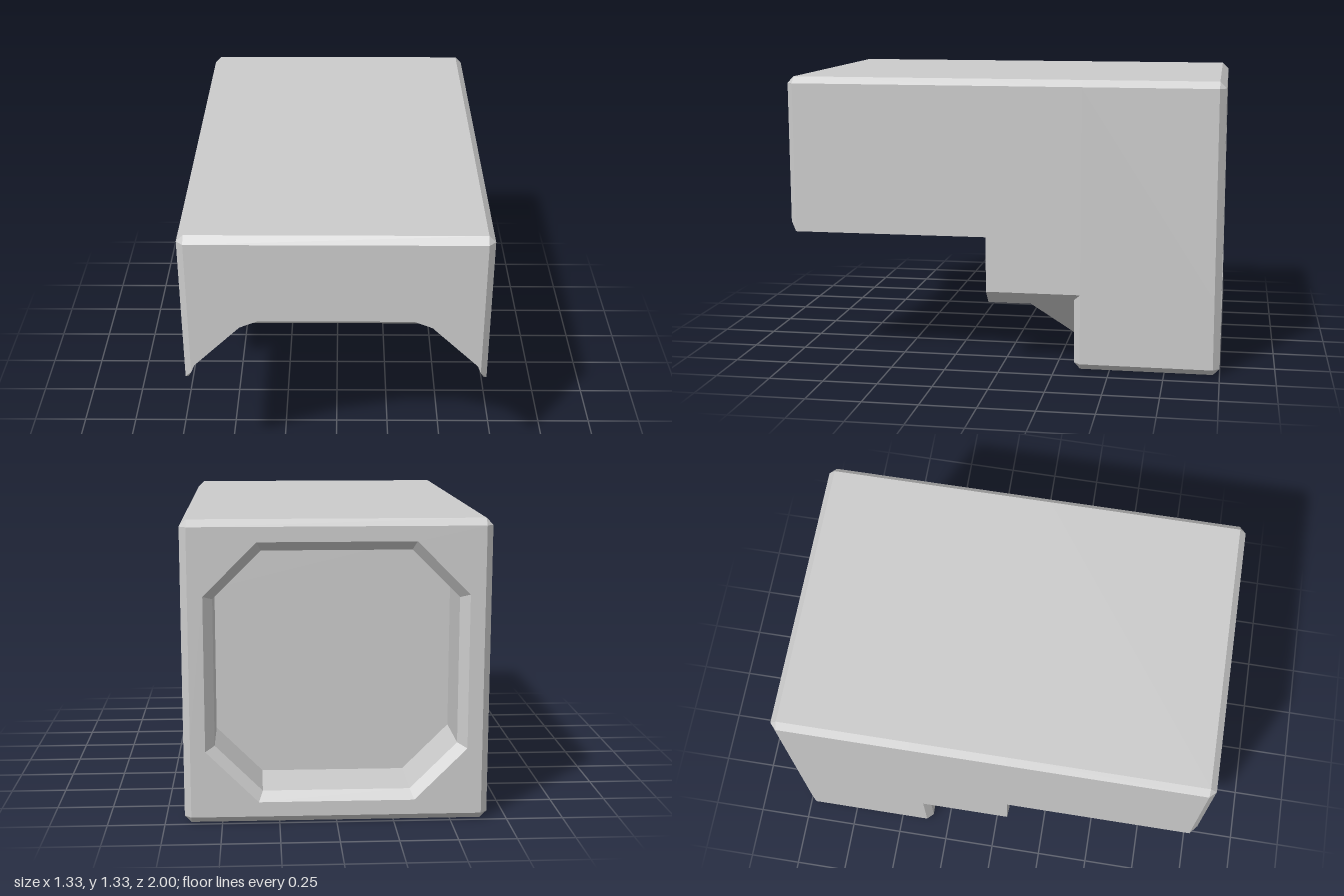
import * as THREE from 'three';

const W = 0.665, H = 1.33, C = 0.03; // half width, height, edge chamfer
const material = new THREE.MeshStandardMaterial({ color: 0xcccccc, flatShading: true });

// Mirror a right-hand half outline into a closed counter-clockwise ring
const mirrored = (half) => [...half, ...half.map(([x, y]) => [-x, y]).reverse()];

// Skin [z, ring] sections from back to front, with optional end caps
function loft(name, sections, { front = false, back = false, hole = [] } = {}) {
  const pos = [];
  const tri = (...pts) => {
    const [a, b, c] = pts.map((p) => new THREE.Vector3(...p));
    if (b.clone().sub(a).cross(c.clone().sub(a)).length() > 1e-7) pos.push(...pts.flat());
  };
  for (let k = 0; k < sections.length - 1; k++) {
    const [z0, r0] = sections[k], [z1, r1] = sections[k + 1];
    for (let i = 0; i < r0.length; i++) {
      const j = (i + 1) % r0.length;
      const a = [...r0[i], z0], b = [...r0[j], z0], c = [...r1[j], z1], d = [...r1[i], z1];
      tri(a, b, c);
      tri(a, c, d);
    }
  }
  const cap = ([z, ring], flip, inner) => {
    // drop repeated corners before triangulating
    const outline = ring.filter(([x, y], i) => {
      const [px, py] = ring[(i + ring.length - 1) % ring.length];
      return Math.hypot(x - px, y - py) > 1e-6;
    });
    const toV2 = (list) => list.map(([x, y]) => new THREE.Vector2(x, y));
    const all = [...outline, ...inner];
    for (const f of THREE.ShapeUtils.triangulateShape(toV2(outline), inner.length ? [toV2(inner)] : [])) {
      let [a, b, c] = f.map((i) => all[i]);
      const ccw = (b[0] - a[0]) * (c[1] - a[1]) - (b[1] - a[1]) * (c[0] - a[0]) > 0;
      if (ccw === flip) [b, c] = [c, b];
      tri([...a, z], [...b, z], [...c, z]);
    }
  };
  if (front) cap(sections[sections.length - 1], false, []);
  if (back) cap(sections[0], true, hole);

  const geometry = new THREE.BufferGeometry();
  geometry.setAttribute('position', new THREE.Float32BufferAttribute(pos, 3));
  geometry.computeVertexNormals();
  const mesh = new THREE.Mesh(geometry, material);
  mesh.name = name;
  return mesh;
}

// Front hood outline: faceted arch underneath, chamfered top corners
const hood = (inset, footX, footY) => mirrored([
  [0.145, 1], [0.415, 0.89], [0.62, 0.69], [footX, footY],
  [W - inset, footY], [W - inset, H - C], [W - C, H - inset],
]);

// Middle outline: roof with two cheeks, inner half width and underside vary
const cheeks = (innerX, bottomY) => mirrored([
  [innerX, 0.955], [innerX, bottomY], [bottomY + 0.31, bottomY],
  [W, 0.355], [W, H - C], [W - C, H],
]);

// Rear block outline
const block = (inset) => mirrored([
  [W - C, inset], [W - inset, C], [W - inset, 0.355], [W - inset, 0.355],
  [W - inset, H - C], [W - C, H - inset],
]);
// Rear block front outline: chamfered only below the cheeks
const blockFront = mirrored([
  [W - C, C], [W - C, C], [W - C, 0.325], [W, 0.355], [W, H - C], [W - C, H],
]);

// Recess octagon, wound clockwise so that its walls face inwards
const octagon = (r, c) => {
  const m = H / 2;
  return mirrored([[r - c, m - r], [r, m - r + c], [r, m + r - c], [r - c, m + r]]).reverse();
};

export function createModel() {
  const group = new THREE.Group();
  group.name = 'housing';

  group.add(loft('frontHood', [
    [0.07, hood(0, 0.653, 0.61)],
    [1 - C, hood(0, 0.653, 0.61)],
    [1, hood(C, W - C, 0.653)],
  ], { front: true, back: true }));

  group.add(loft('sideCheeksAndRoof', [
    [-0.335, cheeks(0.335, 0.09)],
    [-0.13, cheeks(0.43, 0.29)],
    [0.07, cheeks(0.535, 0.29)],
  ], { front: true }));

  // Wall at the back of the cavity, with a sloping underside
  const wall = (x, y) => mirrored([[x, y], [x, 0.955]]);
  group.add(loft('cavityBackWall', [
    [-0.335, wall(0.335, 0.4)],
    [-0.13, wall(0.43, 0.6)],
  ], { front: true }));

  const rim = octagon(0.57, 0.23), inner = octagon(0.53, 0.207);
  group.add(loft('rearBlock', [
    [-1, block(C)],
    [-1 + C, block(0)],
    [-0.335 - C, block(0)],
    [-0.335, blockFront],
  ], { front: true, back: true, hole: rim }));

  // Octagonal recess in the back, with a bevelled rim
  group.add(loft('rearRecess', [[-1, rim], [-0.96, inner], [-0.665, inner]]));
  group.add(loft('rearRecessFloor', [[-0.665, inner]], { back: true }));

  return group;
}
